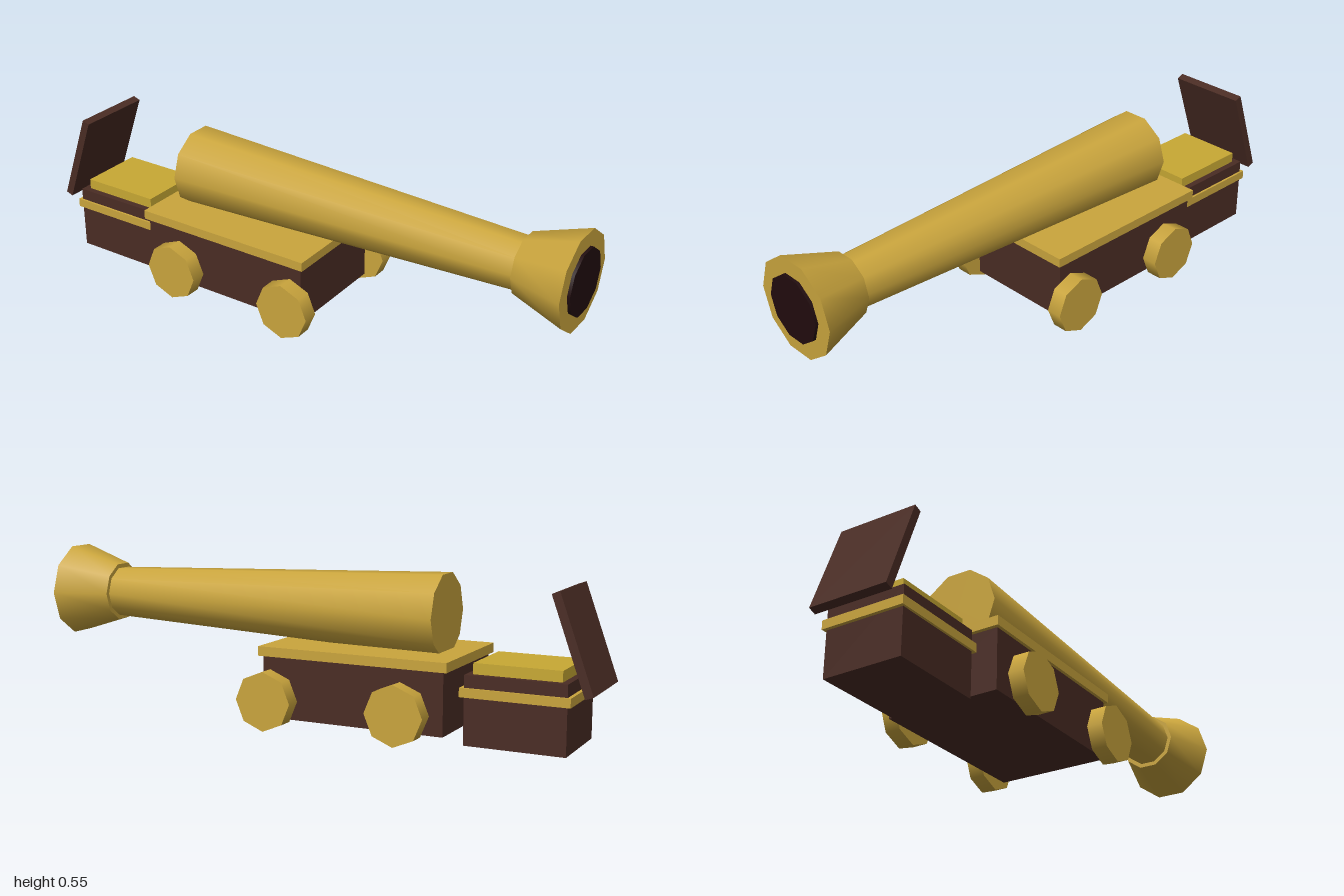
import * as THREE from 'three';

export function createModel() {
  const model = new THREE.Group();
  model.name = 'cannonWithChest';

  const material = (name, color) => {
    const m = new THREE.MeshStandardMaterial({ color });
    m.name = name;
    return m;
  };
  const brass = material('brass', 0xcaa53d);
  const wood = material('dark wood', 0x4a2c24);
  const treasure = material('treasure gold', 0xc8a934);
  const black = material('bore black', 0x210c0e);

  const add = (parent, name, geometry, mat) => {
    const mesh = new THREE.Mesh(geometry, mat);
    mesh.name = name;
    parent.add(mesh);
    return mesh;
  };
  // Box from its x and y ranges, symmetric in z
  const box = (parent, name, x0, x1, y0, y1, halfZ, mat) => {
    const mesh = add(parent, name, new THREE.BoxGeometry(x1 - x0, y1 - y0, halfZ * 2), mat);
    mesh.position.set((x0 + x1) / 2, (y0 + y1) / 2, 0);
    return mesh;
  };
  // Ten-sided tapered cylinder lying along x
  const tube = (parent, name, x0, x1, r0, r1, mat) => {
    const geometry = new THREE.CylinderGeometry(r1, r0, x1 - x0, 10).rotateZ(-Math.PI / 2);
    const mesh = add(parent, name, geometry, mat);
    mesh.position.set((x0 + x1) / 2, 0.391, 0);
    return mesh;
  };

  // Barrel with flared muzzle and dark bore
  const gun = new THREE.Group();
  gun.name = 'gun';
  tube(gun, 'barrel', -0.47, 0.82, 0.14, 0.089, brass);
  tube(gun, 'muzzle', 0.8, 0.988, 0.105, 0.167, brass);
  tube(gun, 'bore', 0.9, 0.998, 0.112, 0.112, black);

  // Carriage with deck and four eight-sided wheels
  const carriage = new THREE.Group();
  carriage.name = 'carriage';
  box(carriage, 'carriageBody', -0.54, 0.1, 0.034, 0.242, 0.2, wood);
  box(carriage, 'carriageDeck', -0.554, 0.113, 0.241, 0.273, 0.211, brass);
  const wheel = new THREE.CylinderGeometry(0.1, 0.1, 0.055, 8).rotateX(Math.PI / 2);
  for (const x of [-0.399, 0.067]) {
    for (const side of [1, -1]) {
      add(carriage, side > 0 ? 'frontWheel' : 'backWheel', wheel, brass)
        .position.set(x, 0.1, side * 0.24);
    }
  }

  // Treasure chest with its lid tipped back
  const chest = new THREE.Group();
  chest.name = 'chest';
  box(chest, 'chestBody', -0.918, -0.585, 0, 0.227, 0.139, wood);
  box(chest, 'chestBand', -0.93, -0.571, 0.156, 0.186, 0.147, brass);
  box(chest, 'chestTreasure', -0.895, -0.606, 0.22, 0.263, 0.117, treasure);
  const lid = add(chest, 'chestLid', new THREE.BoxGeometry(0.028, 0.333, 0.278), wood);
  lid.position.set(-0.928, 0.346, 0);
  lid.rotation.z = -0.345;

  model.add(gun, carriage, chest);
  return model;
}
